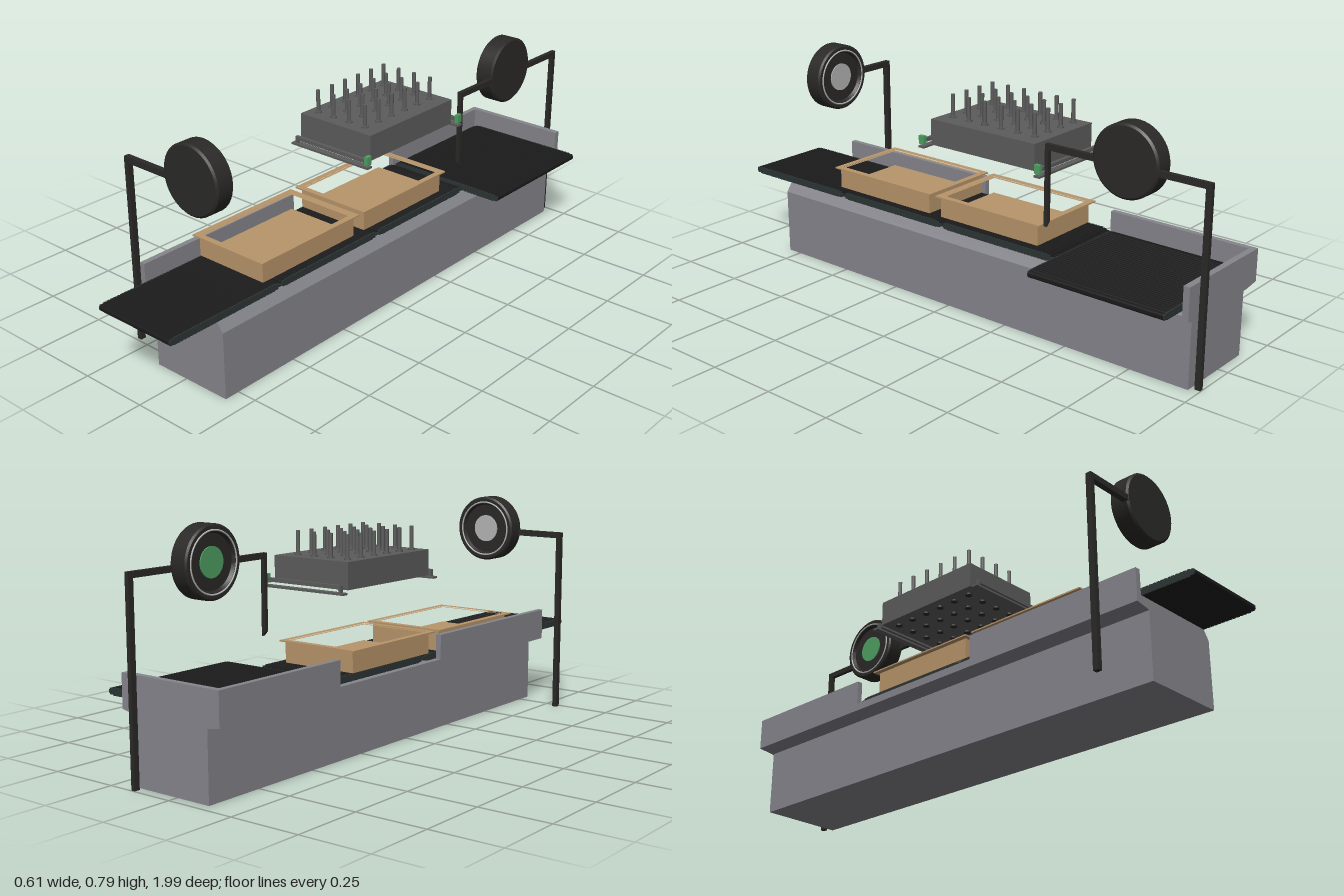
import * as THREE from 'three';
import { toCreasedNormals } from 'three/addons/utils/BufferGeometryUtils.js';

const mat = (color) => new THREE.MeshStandardMaterial({ color });
const black = mat(0x2a2927), beltBlack = mat(0x1b1b1b), chain = mat(0x2c3534);
const shell = mat(0x85858c), tan = mat(0xb8956a), steel = mat(0x5c5c5c);
const silver = mat(0xb5b5b5), green = mat(0x4f9f62);

function add(parent, name, geometry, material, x = 0, y = 0, z = 0) {
  const mesh = new THREE.Mesh(geometry, material);
  mesh.name = name;
  mesh.position.set(x, y, z);
  parent.add(mesh);
  return mesh;
}

// Box given by its minimum and maximum on each axis
function box(parent, name, material, x0, x1, y0, y1, z0, z1) {
  return add(parent, name, new THREE.BoxGeometry(x1 - x0, y1 - y0, z1 - z0), material,
    (x0 + x1) / 2, (y0 + y1) / 2, (z0 + z1) / 2);
}

function extrude(points, depth) {
  const shape = new THREE.Shape(points.map(([x, y]) => new THREE.Vector2(x, y)));
  return new THREE.ExtrudeGeometry(shape, { depth, bevelEnabled: false });
}

// Ridged belt running along local x, as wide as its local z, with tapered ends
function belt(length, width) {
  const group = new THREE.Group();
  const count = Math.round(length / 0.0135), pitch = length / count;
  const top = [], bottom = [];
  for (let i = 0; i <= count; i++) {
    const end = Math.min(i, count - i);
    const half = end === 0 ? 0.005 : end === 1 ? 0.01 : 0.0125;
    const x = i * pitch;
    top.push([x, half]);
    bottom.push([x, -half]);
    if (i < count) {
      top.push([x + pitch * 0.7, half], [x + pitch * 0.85, half - 0.004]);
      bottom.push([x + pitch * 0.7, -half], [x + pitch * 0.85, 0.004 - half]);
    }
  }
  const outline = [...bottom, ...top.reverse()];
  add(group, 'beltSlats', extrude(outline, width - 0.008), beltBlack, 0, 0, 0.004);
  for (const z of [0, width - 0.004]) add(group, 'beltChain', extrude(outline, 0.004), chain, 0, 0, z);
  return group;
}

// Open tray with a floor, four walls and a flat flange around the top
function tray(z0, z1) {
  const group = new THREE.Group();
  group.name = 'tray';
  const frame = (x0, x1, a, b, t, depth) => {
    const rect = (i) => [[x0 + i, a + i], [x1 - i, a + i], [x1 - i, b - i], [x0 + i, b - i]]
      .map(([x, z]) => new THREE.Vector2(x, -z));
    const shape = new THREE.Shape(rect(0));
    shape.holes.push(new THREE.Path(rect(t)));
    return new THREE.ExtrudeGeometry(shape, { depth, bevelEnabled: false }).rotateX(-Math.PI / 2);
  };
  add(group, 'trayWalls', frame(-0.165, 0.12, z0 + 0.015, z1 - 0.015, 0.01, 0.073), tan, 0, 0.291, 0);
  add(group, 'trayFlange', frame(-0.182, 0.133, z0, z1, 0.022, 0.005), tan, 0, 0.363, 0);
  box(group, 'trayFloor', tan, -0.16, 0.115, 0.291, 0.306, z0 + 0.02, z1 - 0.02);
  return group;
}

// Round sign lying flat, its recessed display face up
function sign(insetMaterial) {
  const group = new THREE.Group();
  const profile = [[0, 0], [0.113, 0], [0.12, 0.006], [0.12, 0.064], [0.114, 0.07],
    [0.096, 0.07], [0.09, 0.058], [0, 0.058]].map(([x, y]) => new THREE.Vector2(x, y));
  add(group, 'signDisc', toCreasedNormals(new THREE.LatheGeometry(profile, 64), 0.6), black);
  const ring = new THREE.TorusGeometry(0.1, 0.003, 8, 64).rotateX(Math.PI / 2);
  add(group, 'signRing', ring, silver, 0, 0.07, 0);
  add(group, 'signInset', new THREE.CylinderGeometry(0.05, 0.05, 0.004, 40), insetMaterial, 0, 0.06, 0);
  return group;
}

export function createModel() {
  const model = new THREE.Group();

  // Main base with a chamfered shoulder and an overhang on one side
  const section = [[-0.13, 0], [0.178, 0], [0.178, 0.235], [0.155, 0.266],
    [-0.188, 0.266], [-0.188, 0.24], [-0.13, 0.23]];
  add(model, 'base', extrude(section, 1.77), shell, 0, 0, -0.965);

  // Side guards at both ends of the -x edge, and the end stop
  box(model, 'sideGuard', shell, -0.188, -0.168, 0.266, 0.352, 0.12, 0.805);
  box(model, 'sideGuard', shell, -0.188, -0.168, 0.266, 0.352, -0.965, -0.43);
  const stop = [[-0.188, 0.24], [-0.13, 0.232], [0.178, 0.232], [0.215, 0.24], [0.215, 0.352], [-0.188, 0.352]];
  add(model, 'endStop', extrude(stop, 0.022), shell, 0, 0, -0.975);

  // Lengthwise belt in three sections, then the crosswise belt
  for (let i = 0; i < 3; i++) {
    const part = belt(0.472, 0.32);
    part.name = 'mainBelt';
    part.rotation.y = -Math.PI / 2;
    part.position.set(0.155, 0.278, -0.43 + i * 0.477);
    model.add(part);
  }
  const cross = belt(0.47, 0.505);
  cross.name = 'crossBelt';
  cross.position.set(-0.165, 0.278, -0.947);
  model.add(cross);

  model.add(tray(0.12, 0.585), tray(-0.355, 0.095));

  // Overhead press block with pins above and nozzles below
  const press = new THREE.Group();
  press.name = 'press';
  model.add(press);
  box(press, 'pressBlock', steel, -0.155, 0.155, 0.56, 0.65, -0.35, 0.09);
  const pin = new THREE.CylinderGeometry(0.007, 0.007, 0.085, 12);
  const collar = new THREE.CylinderGeometry(0.012, 0.012, 0.008, 12);
  for (let i = 0; i < 4; i++) {
    for (let j = 0; j < 6; j++) {
      const x = -0.115 + i * 0.0695, z = 0.045 - j * 0.0695;
      add(press, 'pin', pin, steel, x, 0.689, z);
      add(press, 'pinCollar', collar, steel, x, 0.652, z);
      add(press, 'nozzle', collar, black, x, 0.558, z);
    }
  }

  // Sensor rails with green end blocks on each side of the press
  for (const z of [0.118, -0.375]) {
    box(press, 'railStrip', steel, -0.163, 0.176, 0.547, 0.554, z - 0.012, z + 0.012);
    box(press, 'railBar', steel, -0.15, 0.162, 0.565, 0.578, z - 0.006, z + 0.006);
    box(press, 'railLink', steel, -0.15, -0.14, 0.554, 0.565, z - 0.006, z + 0.006);
    box(press, 'sensor', green, 0.161, 0.175, 0.56, 0.59, z - 0.011, z + 0.011);
  }

  // Front sign on a single post
  const front = new THREE.Group();
  front.name = 'frontSign';
  box(front, 'post', black, -0.306, -0.289, 0, 0.663, 0.722, 0.742);
  box(front, 'arm', black, -0.289, -0.1, 0.642, 0.663, 0.722, 0.742);
  const frontDisc = sign(silver);
  frontDisc.rotation.x = -Math.PI / 2;
  frontDisc.position.set(-0.004, 0.665, 0.743);
  front.add(frontDisc);

  // Rear sign hung on a lengthwise frame
  const rear = new THREE.Group();
  rear.name = 'rearSign';
  box(rear, 'post', black, 0.147, 0.162, 0, 0.663, -0.998, -0.978);
  box(rear, 'arm', black, 0.147, 0.162, 0.643, 0.663, -0.978, -0.396);
  const drop = [[0, 0.402], [0.015, 0.386], [0.015, 0.643], [0, 0.643]];
  add(rear, 'dropArm', extrude(drop, 0.014), black, 0.147, 0, -0.41);
  const rearDisc = sign(green);
  rearDisc.rotation.z = Math.PI / 2;
  rearDisc.position.set(0.163, 0.665, -0.697);
  rear.add(rearDisc);

  model.add(front, rear);
  return model;
}
